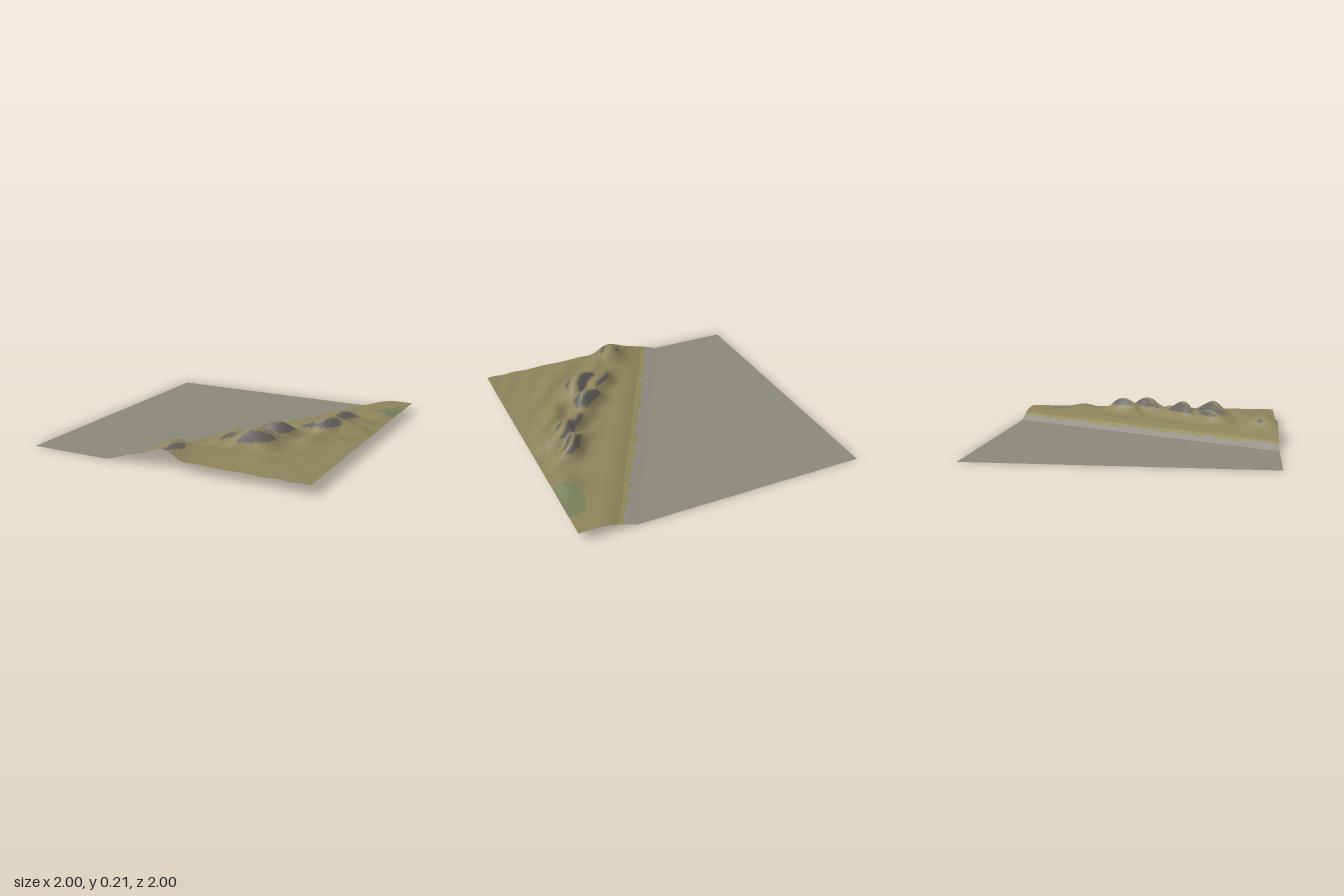
import * as THREE from 'three';

const smooth = THREE.MathUtils.smoothstep;

// x of the waterline for a given z: a straight diagonal coast
const coastX = (z) => 0.1 - 0.52 * z;

// Elongated dunes: x, z, height, half length, half width
const dunes = [
  [0.03, 0.9, 0.105, 0.16, 0.1],
  [0.2, 0.8, 0.05, 0.15, 0.07],
  [0.27, 0.52, 0.095, 0.2, 0.07],
  [0.42, 0.53, 0.14, 0.19, 0.085],
  [0.45, 0.3, 0.132, 0.16, 0.075],
  [0.6, 0.08, 0.08, 0.16, 0.06],
  [0.72, 0.0, 0.117, 0.17, 0.08],
  [0.74, -0.19, 0.108, 0.17, 0.065],
  [0.72, 0.25, 0.06, 0.2, 0.07],
  [0.55, 0.72, 0.035, 0.25, 0.07],
  [0.86, -0.05, 0.055, 0.12, 0.07],
  [0.92, -0.55, 0.033, 0.12, 0.1],
];

// Repeatable noise in 0..1
function hash(i, j) {
  const s = Math.sin(i * 127.1 + j * 311.7) * 43758.5453;
  return s - Math.floor(s);
}

// Beach ramp, plateau and dunes
function height(x, z) {
  const u = x - coastX(z);
  const ramp = 0.065 * Math.sin(Math.min(1, Math.max(0, u / 0.27)) * Math.PI / 2);
  let sum = 0;
  for (const [dx, dz, h, long, wide] of dunes) {
    // dunes run diagonally, with a slight sway along their length
    const along = (x - dx - (z - dz)) * Math.SQRT1_2;
    const across = (x - dx + z - dz) * Math.SQRT1_2 + 0.012 * Math.sin(along * 22 + dx * 9);
    sum += (h * Math.exp(-((along / long) ** 2) - (across / wide) ** 2)) ** 3;
  }
  const ripple = 0.003 * Math.sin((x + z) * 30 + 2 * Math.sin((x - z) * 6)) * smooth(u, 0.35, 0.6);
  const inland = smooth(u, 0.06, 0.28) * smooth(1 - x, -0.03, 0.08);
  return ramp + (Math.cbrt(sum) + ripple) * inland;
}

function material(color) {
  return new THREE.MeshStandardMaterial({ color, roughness: 1, side: THREE.DoubleSide });
}

export function createModel() {
  const group = new THREE.Group();
  const add = (name, geometry, color) => {
    const mesh = new THREE.Mesh(geometry, material(color));
    mesh.name = name;
    group.add(mesh);
  };

  // Flat ground on the low side of the coast
  const flat = new THREE.Shape([
    new THREE.Vector2(-1, -1),
    new THREE.Vector2(coastX(1), -1),
    new THREE.Vector2(coastX(-1), 1),
    new THREE.Vector2(-1, 1),
  ]);
  add('flatGround', new THREE.ShapeGeometry(flat).rotateX(-Math.PI / 2), 0x8b897b);

  // Land grid, its columns fanning from the coast to the far side
  const rows = 110;
  const cols = 100;
  const positions = [];
  for (let i = 0; i <= rows; i++) {
    const z = -1 + (2 * i) / rows;
    const x0 = coastX(z);
    for (let j = 0; j <= cols; j++) {
      const x = x0 + (1 - x0) * (j / cols) ** 1.15;
      positions.push(x, height(x, z), z);
    }
  }
  const land = new THREE.BufferGeometry();
  land.setAttribute('position', new THREE.Float32BufferAttribute(positions, 3));

  // Sort every triangle into a ground cover by place and steepness
  const cover = { gravelShore: [], beachEdge: [], duneSand: [], duneRock: [], grassPatch: [] };
  const all = [];
  const place = (...tri) => {
    const mean = (k) => tri.reduce((s, v) => s + positions[v * 3 + k], 0) / 3;
    const [x, y, z] = [mean(0), mean(1), mean(2)];
    const u = x - coastX(z);
    const e = 0.005;
    const slope = Math.hypot(height(x + e, z) - height(x - e, z), height(x, z + e) - height(x, z - e)) / (2 * e);
    const jag = hash(Math.floor(z * 25), 3) * 0.04;
    let kind = 'duneSand';
    if (u < 0.06 + jag) kind = 'gravelShore';
    else if (u < 0.125) kind = 'beachEdge';
    else if (y > 0.125 && slope > 0.85 + 0.2 * Math.sin(x * 17 + z * 11)) kind = 'duneRock';
    else if (Math.hypot((x - 0.96) / 0.12, (z + 0.68) / 0.16) < 1) kind = 'grassPatch';
    cover[kind].push(...tri);
    all.push(...tri);
  };
  for (let i = 0; i < rows; i++) {
    for (let j = 0; j < cols; j++) {
      const a = i * (cols + 1) + j;
      const b = a + cols + 1;
      place(a, b, a + 1);
      place(b, b + 1, a + 1);
    }
  }
  land.setIndex(all);
  land.computeVertexNormals();

  // One mesh per ground cover, sharing the same smooth surface
  const colors = {
    gravelShore: 0x97958a,
    beachEdge: 0x96915f,
    duneSand: 0x8d845c,
    duneRock: 0x66645f,
    grassPatch: 0x78805a,
  };
  for (const [name, index] of Object.entries(cover)) {
    if (!index.length) continue;
    const part = new THREE.BufferGeometry();
    part.setAttribute('position', land.getAttribute('position'));
    part.setAttribute('normal', land.getAttribute('normal'));
    part.setIndex(index);
    add(name, part, colors[name]);
  }
  return group;
}
